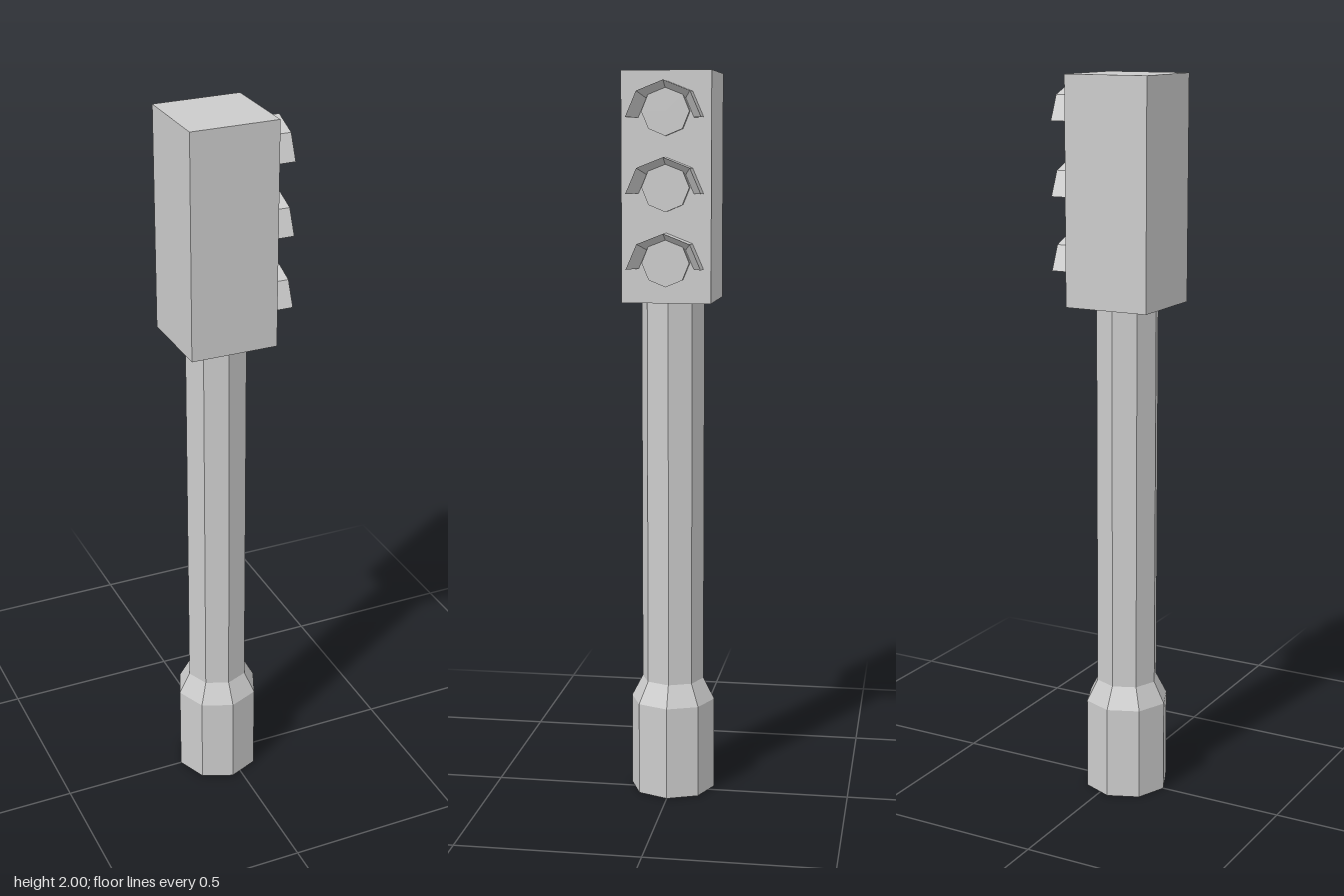
import * as THREE from 'three';

const material = new THREE.MeshStandardMaterial({ color: 0xcccccc, flatShading: true });
const openMaterial = new THREE.MeshStandardMaterial({ color: 0xcccccc, flatShading: true, side: THREE.DoubleSide });

// Half-octagon hood: a wedge section (thick at the wall, sharp at the rim) swept over the lamp
function visorGeometry(depth, outer, inner, squash) {
  const section = [[0, outer], [depth, outer], [0, inner]];
  const steps = 4;
  const rings = [];
  for (let i = 0; i <= steps; i++) {
    const a = (i / steps) * Math.PI;
    rings.push(section.map(([x, r]) => [x, r * Math.sin(a) * squash, r * Math.cos(a)]));
  }
  const positions = [];
  const tri = (a, b, c) => positions.push(...a, ...b, ...c);
  for (let i = 0; i < steps; i++) {
    for (let j = 0; j < 3; j++) {
      const k = (j + 1) % 3;
      tri(rings[i][j], rings[i][k], rings[i + 1][k]);
      tri(rings[i][j], rings[i + 1][k], rings[i + 1][j]);
    }
  }
  const [a, b, c] = rings[0];
  tri(c, b, a);
  tri(...rings[steps]);
  const geometry = new THREE.BufferGeometry();
  geometry.setAttribute('position', new THREE.Float32BufferAttribute(positions, 3));
  geometry.computeVertexNormals();
  return geometry;
}

export function createModel() {
  const model = new THREE.Group();
  const add = (name, geometry, x, y, z, mat = material) => {
    const mesh = new THREE.Mesh(geometry, mat);
    mesh.name = name;
    mesh.position.set(x, y, z);
    model.add(mesh);
  };
  const axisX = -0.029;
  const faceX = 0.093;

  // Eight-sided post with a wider foot, open underneath
  const profile = [[0.118, 0], [0.118, 0.26], [0.087, 0.32], [0.087, 1.39]];
  add('post', new THREE.LatheGeometry(profile.map(([r, y]) => new THREE.Vector2(r, y)), 8), axisX, 0, 0, openMaterial);

  // Signal housing
  add('housing', new THREE.BoxGeometry(0.241, 0.61, 0.241), faceX - 0.1205, 1.695, 0);

  // Three lamps, each under its own visor
  const lamp = new THREE.CylinderGeometry(0.064, 0.064, 0.014, 8).rotateZ(-Math.PI / 2);
  const visor = visorGeometry(0.054, 0.1, 0.074, 0.95);
  ['top', 'middle', 'bottom'].forEach((place, i) => {
    const y = 1.894 - i * 0.198;
    add(place + 'Lamp', lamp, faceX + 0.007, y, 0);
    add(place + 'Visor', visor, faceX, y - 0.016, 0);
  });
  return model;
}
